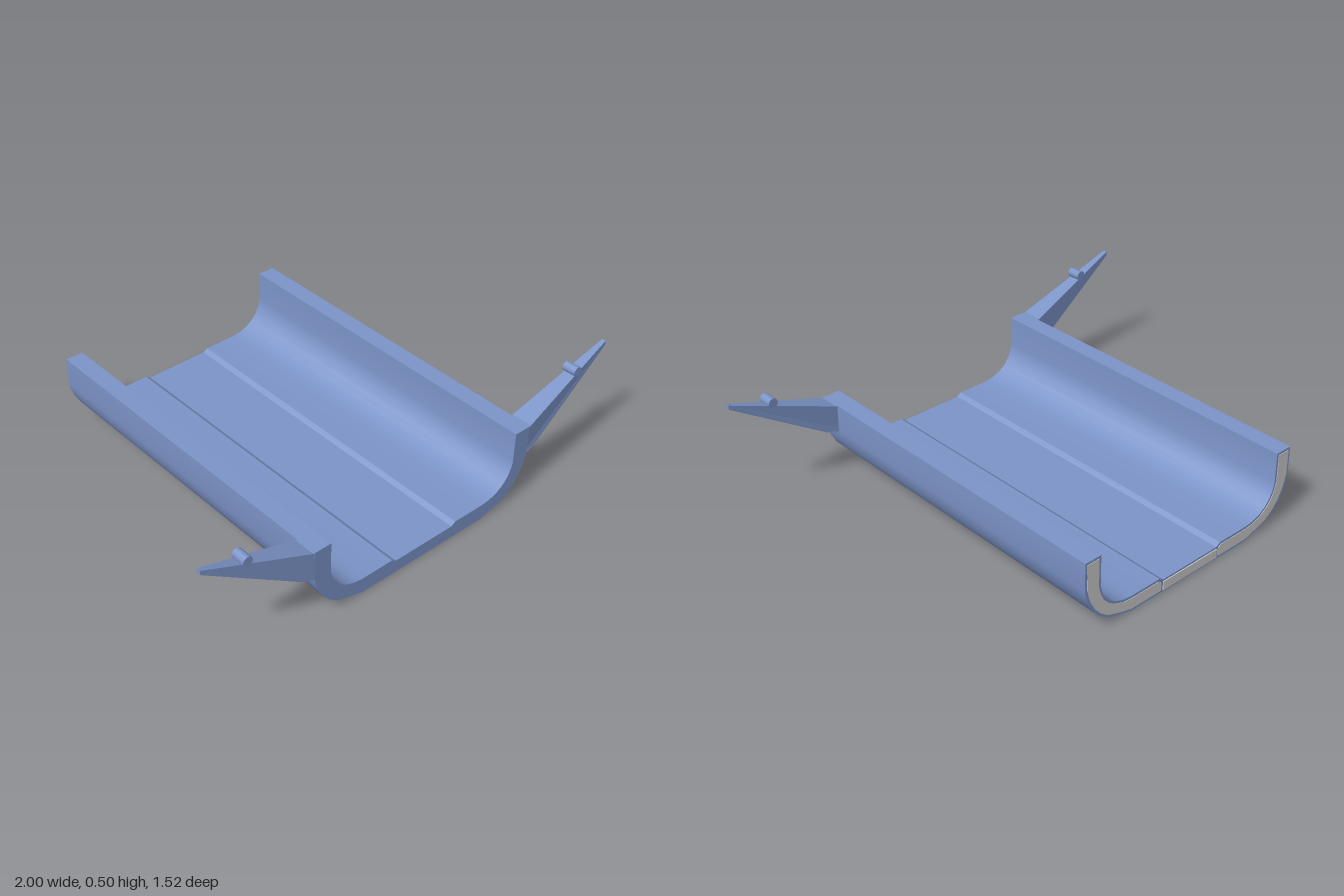
import * as THREE from 'three';
import { toCreasedNormals } from 'three/addons/utils/BufferGeometryUtils.js';

const BACK = -0.756, FRONT = 0.76, WING_Z = 0.713;

// Closed half outline points of the channel, on +x
const outer = [[0.31, 0], [0.38, 0.02], [0.43, 0.037], [0.47, 0.065], [0.5, 0.1], [0.525, 0.145], [0.537, 0.18], [0.543, 0.21], [0.543, 0.33]];
const inner = [[0.467, 0.33], [0.467, 0.2], [0.46, 0.168], [0.445, 0.137], [0.42, 0.108], [0.39, 0.087], [0.35, 0.073], [0.31, 0.068], [0.165, 0.068], [0.145, 0.055]];

// Outlines of the end plates, set in from the rim
const sidePlate = [[0.155, 0.01], [0.31, 0.01], [0.38, 0.03], [0.43, 0.048], [0.465, 0.075], [0.492, 0.107], [0.515, 0.15], [0.533, 0.21], [0.533, 0.32],
  [0.477, 0.32], [0.477, 0.2], [0.468, 0.163], [0.452, 0.13], [0.425, 0.1], [0.394, 0.078], [0.352, 0.063], [0.31, 0.058], [0.17, 0.058], [0.155, 0.048]];
const middlePlate = [[-0.145, 0.008], [0.145, 0.008], [0.145, 0.047], [-0.145, 0.047]];

const mirrored = (pts) => pts.map(([x, y]) => [-x, y]).reverse();

function extrude(pts, z0, z1) {
  const shape = new THREE.Shape(pts.map(([x, y]) => new THREE.Vector2(x, y)));
  return new THREE.ExtrudeGeometry(shape, { depth: z1 - z0, bevelEnabled: false }).translate(0, 0, z0);
}

// Side wing: outline in x/y, narrowing in z towards the tip
function wingGeometry(side) {
  const half = [[0.5, 0.2], [0.543, 0.205], [0.6, 0.227], [1, 0.482], [1, 0.5], [0.55, 0.33], [0.5, 0.33]];
  const geo = extrude(side > 0 ? half : mirrored(half), -1, 1);
  const pos = geo.attributes.position;
  for (let i = 0; i < pos.count; i++) {
    const t = Math.max(0, (Math.abs(pos.getX(i)) - 0.543) / 0.457);
    pos.setZ(i, WING_Z + Math.sign(pos.getZ(i)) * THREE.MathUtils.lerp(0.047, 0.009, t));
  }
  geo.computeVertexNormals();
  return geo;
}

export function createModel() {
  const model = new THREE.Group();
  const blue = new THREE.MeshStandardMaterial({ color: 0x7c94c8 });
  const grey = new THREE.MeshStandardMaterial({ color: 0xcccccc });
  const add = (name, geo, mat) => {
    const mesh = new THREE.Mesh(geo, mat);
    mesh.name = name;
    model.add(mesh);
    return mesh;
  };

  // Long open channel with a shallow recess along the floor
  const right = [...outer, ...inner];
  add('channel', toCreasedNormals(extrude([...right, ...mirrored(right)], BACK, FRONT), 0.5), blue);

  // Thin plates on the rear end
  add('middleEndPlate', extrude(middlePlate, -0.76, BACK), grey);
  add('leftEndPlate', extrude(sidePlate, -0.758, BACK), grey);
  add('rightEndPlate', extrude(mirrored(sidePlate), -0.758, BACK), grey);

  // Tapered wings, each with a small cross pin
  for (const side of [1, -1]) {
    const label = side > 0 ? 'left' : 'right';
    add(label + 'Wing', wingGeometry(side), blue);
    const pin = new THREE.CylinderGeometry(0.021, 0.021, 0.06, 12).rotateX(Math.PI / 2);
    add(label + 'Pin', pin, blue).position.set(side * 0.82, 0.446, WING_Z);
  }
  return model;
}
